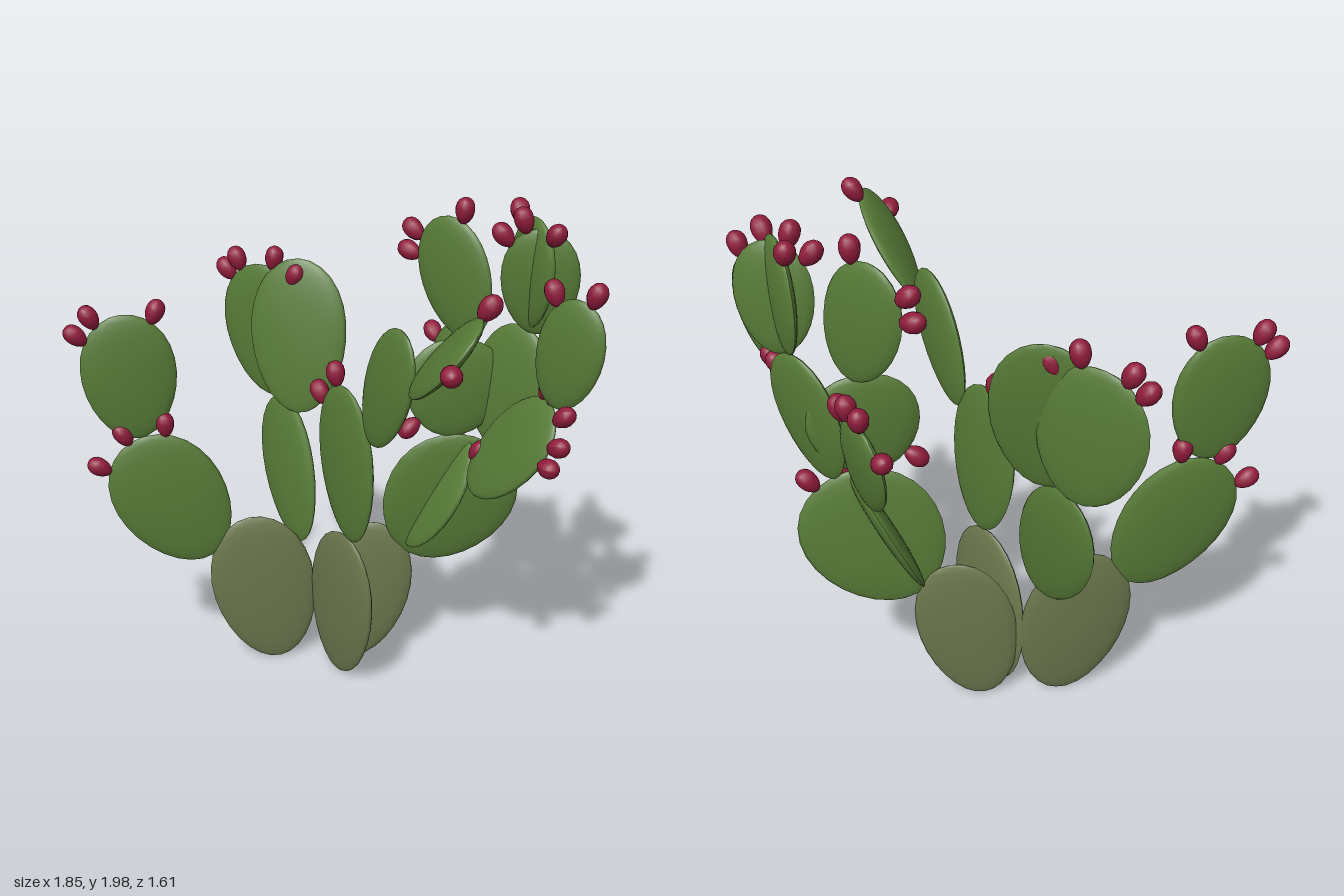
import * as THREE from 'three';

const oldPad = new THREE.MeshStandardMaterial({ color: 0x6a764c });
oldPad.name = 'old pad olive';
const youngPad = new THREE.MeshStandardMaterial({ color: 0x577b37 });
youngPad.name = 'young pad green';
const fruitRed = new THREE.MeshStandardMaterial({ color: 0x901c3c });
fruitRed.name = 'fruit crimson';

const PAD_TAPER = 0.1;
const PAD_THICKNESS = 0.066;

// Unit egg: a sphere that is fuller above its middle
function egg(cols, rows, taper) {
  const g = new THREE.SphereGeometry(0.5, cols, rows);
  const p = g.attributes.position;
  for (let i = 0; i < p.count; i++) {
    const k = 1 + taper * p.getY(i) * 2;
    p.setX(i, p.getX(i) * k);
    p.setZ(i, p.getZ(i) * k);
  }
  g.computeVertexNormals();
  return g;
}
const padShape = egg(20, 14, PAD_TAPER);
const fruitShape = egg(12, 9, 0.15);

// Point on a pad's rim; the angle runs from its tip towards its side
function rimPoint(pad, degrees) {
  const a = THREE.MathUtils.degToRad(degrees);
  const x = 0.5 * Math.sin(a) * (1 + PAD_TAPER * Math.cos(a));
  return new THREE.Vector3(x, 0.5 * Math.cos(a), 0).applyMatrix4(pad.matrix);
}

export function createModel() {
  const model = new THREE.Group();
  model.name = 'pricklyPear';

  // Fruit standing on the rim, pointing away from the middle of the pad
  function addFruit(pad, degrees) {
    const fruit = new THREE.Mesh(fruitShape, fruitRed);
    fruit.name = pad.name + 'Fruit';
    const rim = rimPoint(pad, degrees);
    const out = rim.clone().sub(pad.position).normalize();
    fruit.position.copy(rim).addScaledVector(out, 0.042);
    fruit.quaternion.setFromUnitVectors(new THREE.Vector3(0, 1, 0), out);
    fruit.scale.set(0.073, 0.102, 0.073);
    model.add(fruit);
  }

  // Flat pad from joint to tip; yaw turns its broad side from +x towards +z
  function addPad(name, material, joint, tip, yaw, width, fruitAngles) {
    const axis = tip.clone().sub(joint);
    const length = axis.length();
    axis.normalize();
    const turn = THREE.MathUtils.degToRad(yaw);
    const across = new THREE.Vector3(Math.cos(turn), 0, Math.sin(turn));
    across.addScaledVector(axis, -across.dot(axis)).normalize();
    const normal = across.clone().cross(axis);
    const pad = new THREE.Mesh(padShape, material);
    pad.name = name;
    pad.position.copy(joint).lerp(tip, 0.5);
    pad.quaternion.setFromRotationMatrix(new THREE.Matrix4().makeBasis(across, axis, normal));
    pad.scale.set(width, length, PAD_THICKNESS);
    pad.updateMatrix();
    model.add(pad);
    for (const angle of fruitAngles) addFruit(pad, angle);
    return pad;
  }

  const root = (name, x, z, tip, yaw, width) =>
    addPad(name, oldPad, new THREE.Vector3(x, 0.01, z), new THREE.Vector3(...tip), yaw, width, []);
  const grow = (parent, rimAngle, name, tip, yaw, width, ...fruitAngles) =>
    addPad(name, youngPad, rimPoint(parent, rimAngle), new THREE.Vector3(...tip), yaw, width, fruitAngles);

  // Old pads on the ground
  const rightBase = root('rightBasePad', -0.13, -0.335, [-0.25, 0.67, -0.36], 5, 0.425);
  const leftBase = root('leftBasePad', 0.15, -0.28, [0.27, 0.648, -0.25], 16, 0.38);
  const frontBase = root('frontBasePad', 0.08, -0.2, [0.1, 0.68, -0.1], 67, 0.41);

  // Right arm
  const rightArm = grow(rightBase, -52, 'rightArmPad', [-0.7, 1.03, -0.4], 3, 0.44, -36, -2, 33);
  grow(rightArm, 8, 'rightArmTopPad', [-0.71, 1.55, -0.41], 2, 0.365, -50, -30, 34);

  // Back arm
  const backArm = grow(rightBase, 58, 'backArmPad', [-0.085, 1.1, -0.6], 68, 0.37);
  grow(backArm, 0, 'backArmOuterPad', [-0.15, 1.64, -0.67], 46, 0.41, -36, -20, 22, 46);
  grow(backArm, 45, 'backArmInnerPad', [0.0, 1.69, -0.54], 31, 0.4);

  // Front arm
  const frontArm = grow(frontBase, 8, 'frontArmPad', [0.085, 1.31, -0.13], 70, 0.37, -46, -10);
  const frontMiddle = grow(frontArm, 64, 'frontArmMiddlePad', [0.225, 1.63, 0.25], 74, 0.29);
  grow(frontMiddle, 54, 'frontArmTopPad', [0.33, 1.77, 0.7], -72, 0.29, -48, 48);

  // Left cluster, lower pads
  const leftArm = grow(leftBase, 48, 'leftArmPad', [0.67, 1.03, -0.12], 11, 0.52, 13);
  const leftCross = grow(leftBase, 36, 'leftArmCrossPad', [0.6, 1.04, -0.15], 83, 0.37, 28);

  // Left cluster, middle pads
  const leftInner = grow(leftArm, -38, 'leftInnerPad', [0.59, 1.45, -0.15], 5, 0.4, -143);
  const leftOuter = grow(leftArm, 0, 'leftOuterPad', [0.775, 1.52, -0.05], 57, 0.33);
  const leftFront = grow(leftCross, 55, 'leftFrontPad', [0.78, 1.3, 0.28], 80, 0.34, 38, 56, 10, -18, -34);
  grow(leftCross, -34, 'leftBackPad', [0.6, 1.41, -0.45], 75, 0.3, -40, 6, 32, 52);

  // Left cluster, top pads
  grow(leftInner, 0, 'leftInnerTopPad', [0.49, 1.9, -0.27], 51, 0.32, -62, -42, 33);
  grow(leftOuter, 14, 'leftOuterTopPad', [0.79, 1.91, 0.02], 29, 0.29, -49, -23);
  grow(leftOuter, -3, 'leftOuterCrossPad', [0.78, 1.94, -0.02], 82, 0.315, -42, 42);
  grow(leftFront, -10, 'leftFrontTopPad', [0.84, 1.73, 0.32], 55, 0.275, -43, 12);

  return model;
}
